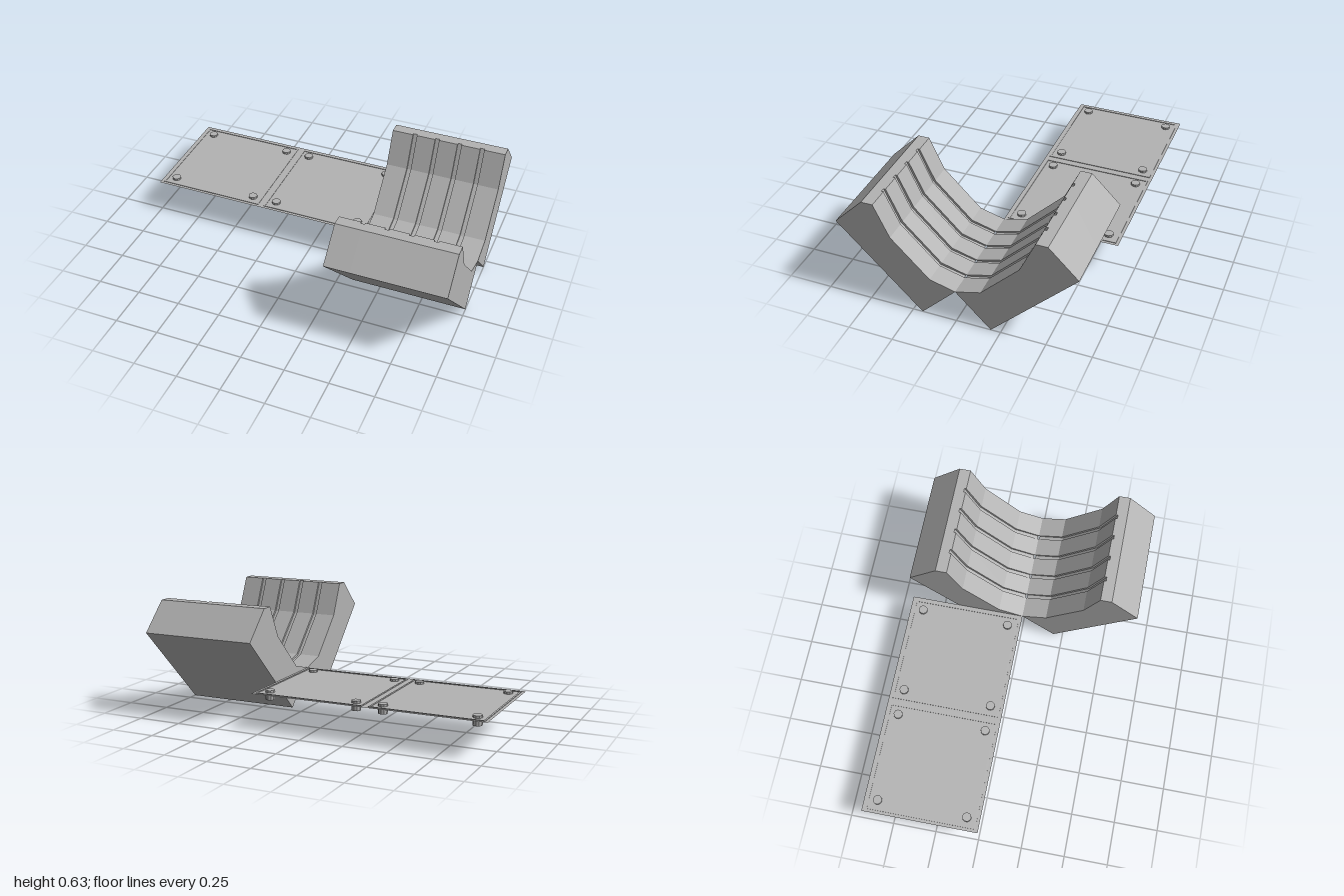
import * as THREE from 'three';

const grey = new THREE.MeshStandardMaterial({ color: 0xb2b2b2 });
grey.name = 'grey';
const sheetGrey = new THREE.MeshStandardMaterial({ color: 0xb2b2b2, side: THREE.DoubleSide });
sheetGrey.name = 'sheet grey';

// Cross-sections of one cradle half as [z, y]
const outer = [[0.44, 0.635], [0.505, 0.635], [0.667, 0.473], [0.195, 0]];
const fullProfile = [[0, 0.197], [0.142, 0.236], [0.355, 0.45], ...outer];
const grooveProfile = [[0.005, 0.19], [0.148, 0.224], [0.366, 0.443], [0.452, 0.635], ...outer.slice(1)];

function addMesh(parent, name, geometry, material = grey) {
  const mesh = new THREE.Mesh(geometry, material);
  mesh.name = name;
  parent.add(mesh);
  return mesh;
}

// Extrude a [z, y] profile along x between x0 and x1
function slab(profile, side, x0, x1) {
  const shape = new THREE.Shape(profile.map(([z, y]) => new THREE.Vector2(z * side, y)));
  const g = new THREE.ExtrudeGeometry(shape, { depth: x1 - x0, bevelEnabled: false });
  return g.rotateY(-Math.PI / 2).translate(x1, 0, 0);
}

// Rectangular path centred on the origin
function rectangle(path, half) {
  path.moveTo(-half, -half).lineTo(half, -half).lineTo(half, half).lineTo(-half, half).closePath();
  return path;
}

export function createModel() {
  const model = new THREE.Group();
  model.name = 'cradleWithPanels';

  // Two mirrored cradle halves with four shallow grooves each
  const grooveCentres = [0.467, 0.6, 0.733, 0.866];
  const halfGroove = 0.012;
  for (const side of [1, -1]) {
    const half = new THREE.Group();
    half.name = side > 0 ? 'frontCradle' : 'backCradle';
    let x = 0.333;
    for (const c of grooveCentres) {
      addMesh(half, 'cradleRib', slab(fullProfile, side, x, c - halfGroove));
      addMesh(half, 'cradleGroove', slab(grooveProfile, side, c - halfGroove, c + halfGroove));
      x = c + halfGroove;
    }
    addMesh(half, 'cradleRib', slab(fullProfile, side, x, 1));
    model.add(half);
  }

  // Two square sheets, each with a thin border and four bolts
  const frame = rectangle(new THREE.Shape(), 0.316);
  frame.holes.push(rectangle(new THREE.Path(), 0.306));
  for (const cx of [-0.6665, 0]) {
    const panel = new THREE.Group();
    panel.name = 'panel';
    panel.position.set(cx, 0.196, -0.3335);
    addMesh(panel, 'sheet', new THREE.PlaneGeometry(0.6665, 0.667).rotateX(-Math.PI / 2), sheetGrey);
    const border = new THREE.ExtrudeGeometry(frame, { depth: 0.006, bevelEnabled: false });
    addMesh(panel, 'border', border.rotateX(-Math.PI / 2).translate(0, -0.003, 0));
    for (const sx of [-1, 1]) {
      for (const sz of [-1, 1]) {
        const bolt = addMesh(panel, 'bolt', new THREE.CylinderGeometry(0.026, 0.026, 0.054, 10).toNonIndexed());
        bolt.geometry.computeVertexNormals();
        bolt.position.set(sx * 0.257, -0.014, sz * 0.257);
      }
    }
    model.add(panel);
  }
  return model;
}
